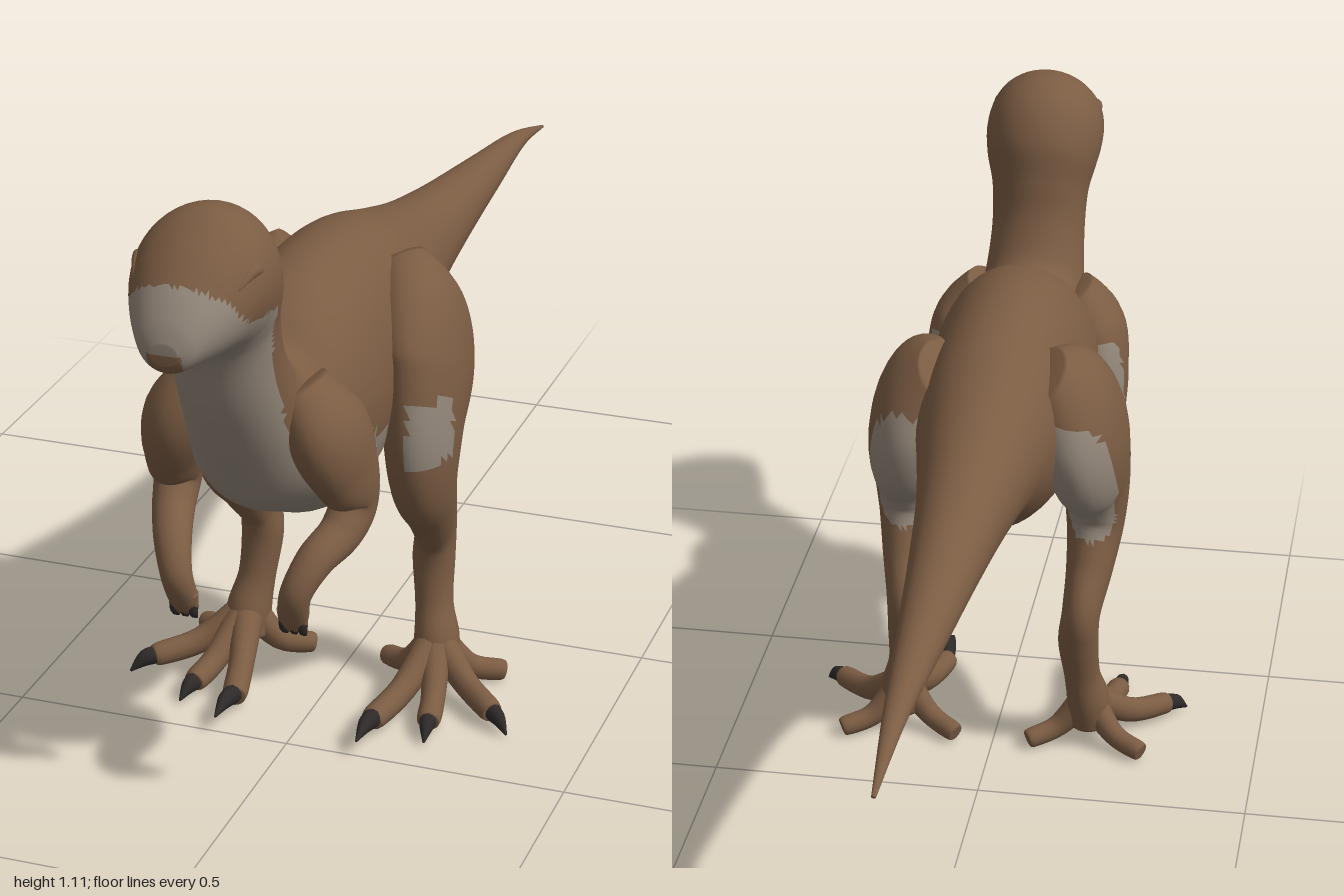
import * as THREE from 'three';

const paint = (name, color) => Object.assign(new THREE.MeshStandardMaterial({ color }), { name });
const brown = paint('brown hide', 0x7b5c43);
const pale = paint('pale underside', 0x93877a);
const dark = paint('dark claw', 0x2f2a2a);

// Catmull-Rom through rows of numbers, n steps between rows
function smooth(rows, n) {
  const out = [];
  const at = i => rows[Math.max(0, Math.min(rows.length - 1, i))];
  for (let i = 0; i < rows.length - 1; i++) {
    for (let k = 0; k < n; k++) {
      const t = k / n, a = at(i - 1), b = at(i), c = at(i + 1), d = at(i + 2);
      out.push(b.map((_, m) => b[m] + 0.5 * t * (c[m] - a[m] + t * (2 * a[m] - 5 * b[m] + 4 * c[m] - d[m]
        + t * (3 * (b[m] - c[m]) + d[m] - a[m])))));
    }
  }
  out.push(rows[rows.length - 1]);
  return out;
}

// Closed skin over rings { c, u, v }; isPale(x, y, z) picks the second colour
function skin(name, rings, sides, base, isPale) {
  const first = rings[0], last = rings[rings.length - 1], zero = new THREE.Vector3();
  const all = [{ c: first.c, u: zero, v: zero }, ...rings, { c: last.c, u: zero, v: zero }];
  const pos = [], main = [], second = [];
  for (const { c, u, v } of all) {
    for (let j = 0; j < sides; j++) {
      const a = j / sides * Math.PI * 2;
      const p = c.clone().addScaledVector(u, Math.cos(a)).addScaledVector(v, Math.sin(a));
      pos.push(p.x, p.y, p.z);
    }
  }
  const mid = (t, k) => (pos[t[0] * 3 + k] + pos[t[1] * 3 + k] + pos[t[2] * 3 + k]) / 3;
  for (let i = 0; i < all.length - 1; i++) {
    for (let j = 0; j < sides; j++) {
      const a = i * sides + j, b = i * sides + (j + 1) % sides;
      for (const t of [[a, b, a + sides], [b, b + sides, a + sides]]) {
        const light = isPale && isPale(Math.abs(mid(t, 0)), mid(t, 1), mid(t, 2));
        (light ? second : main).push(...t);
      }
    }
  }
  const g = new THREE.BufferGeometry();
  g.setAttribute('position', new THREE.Float32BufferAttribute(pos, 3));
  g.setIndex([...main, ...second]);
  g.computeVertexNormals();
  if (second.length) {
    g.addGroup(0, main.length, 0);
    g.addGroup(main.length, second.length, 1);
  }
  const mesh = new THREE.Mesh(g, second.length ? [base, pale] : base);
  mesh.name = name;
  return mesh;
}

// Limb along rows [x, y, z, radius along ref, other radius]; s mirrors it in x
function limb(name, rows, s, ref, { steps = 5, sides = 20, mat = brown, isPale } = {}) {
  const pts = smooth(rows, steps);
  const at = i => { const p = pts[Math.max(0, Math.min(pts.length - 1, i))]; return new THREE.Vector3(p[0] * s, p[1], p[2]); };
  const rings = pts.map((p, i) => {
    const t = at(i + 1).sub(at(i - 1)).normalize();
    const u = ref.clone().addScaledVector(t, -ref.dot(t)).normalize();
    const v = t.clone().cross(u);
    return { c: at(i), u: u.multiplyScalar(p[3]), v: v.multiplyScalar(p[4]) };
  });
  return skin(name, rings, sides, mat, isPale);
}

const X = new THREE.Vector3(1, 0, 0), Y = new THREE.Vector3(0, 1, 0);

// Body rings: top z, top y, bottom z, bottom y, half width
const BODY = [
  [-1, 0.628, -1, 0.622, 0.004], [-0.82, 0.675, -0.82, 0.64, 0.02], [-0.6, 0.705, -0.6, 0.625, 0.04],
  [-0.34, 0.74, -0.36, 0.607, 0.063], [-0.15, 0.775, -0.15, 0.585, 0.085], [0, 0.815, 0, 0.56, 0.11],
  [0.17, 0.865, 0.13, 0.49, 0.138], [0.33, 0.88, 0.3, 0.43, 0.15], [0.46, 0.868, 0.43, 0.425, 0.155],
  [0.53, 0.84, 0.55, 0.475, 0.145], [0.585, 0.805, 0.66, 0.535, 0.12], [0.625, 0.815, 0.73, 0.63, 0.1],
  [0.66, 0.88, 0.8, 0.75, 0.09], [0.675, 0.95, 0.838, 0.85, 0.092], [0.69, 1.03, 0.86, 0.882, 0.105],
  [0.74, 1.095, 0.88, 0.89, 0.112], [0.82, 1.118, 0.91, 0.897, 0.108], [0.89, 1.09, 0.94, 0.9, 0.09],
  [0.95, 1.04, 0.97, 0.905, 0.066], [0.985, 0.995, 0.99, 0.91, 0.045], [1, 0.96, 1, 0.925, 0.022],
];

// Front edge of the brown hide as [y, z]
const EDGE = [[0.42, 0.08], [0.5, 0.18], [0.55, 0.3], [0.6, 0.45], [0.66, 0.69], [0.8, 0.75],
  [0.955, 0.79], [0.97, 0.9], [1.04, 0.955], [1.05, 2]];
function bodyPale(x, y, z) {
  if (z > 0.975 && x < 0.028 && y > 0.9 && y < 0.943) return false; // nose
  if (y > 1.05) return false;
  if (y <= EDGE[0][0]) return z > 0;
  const i = EDGE.findIndex(e => e[0] >= y), [y0, z0] = EDGE[i - 1], [y1, z1] = EDGE[i];
  return z > z0 + (z1 - z0) * (y - y0) / (y1 - y0);
}

const LEG = [
  [0.09, 0.79, 0.17, 0.05, 0.06], [0.135, 0.73, 0.2, 0.075, 0.125], [0.163, 0.64, 0.235, 0.076, 0.15],
  [0.176, 0.54, 0.285, 0.064, 0.115], [0.178, 0.45, 0.285, 0.055, 0.088], [0.174, 0.37, 0.235, 0.044, 0.062],
  [0.166, 0.3, 0.185, 0.036, 0.052], [0.162, 0.24, 0.18, 0.038, 0.038], [0.168, 0.16, 0.195, 0.034, 0.034],
  [0.178, 0.1, 0.21, 0.04, 0.045], [0.18, 0.05, 0.22, 0.04, 0.045],
];
// Pale patches on the front and rear of the thigh
function legPale(x, y, z) {
  if (z > 0.31 && x > 0.18 && y > 0.51 && y < 0.62) return true;
  const t = Math.max(0, Math.min(1, (y - 0.48) / 0.2));
  return x > 0.1 && y > 0.44 && Math.hypot(z - 0.19 + 0.105 * t, y - 0.48 - 0.2 * t) < 0.042;
}

const ARM = [
  [0.08, 0.75, 0.63, 0.045, 0.06], [0.125, 0.68, 0.63, 0.06, 0.09], [0.147, 0.6, 0.6, 0.05, 0.08],
  [0.155, 0.535, 0.585, 0.04, 0.052], [0.147, 0.495, 0.625, 0.036, 0.038], [0.125, 0.47, 0.685, 0.032, 0.031],
  [0.105, 0.425, 0.722, 0.027, 0.025], [0.097, 0.38, 0.715, 0.026, 0.02], [0.094, 0.355, 0.707, 0.02, 0.014],
];
const armPale = (x, y, z) => z < 0.565 && y > 0.51 && y < 0.68 && x > 0.12;

// Toes end where their claws begin
const TOES = [
  { name: 'innerToe', mid: [0.152, 0.045, 0.32], end: [0.13, 0.032, 0.41], claw: [[0.13, 0.043, 0.455], [0.13, 0.035, 0.505]], r: 0.022 },
  { name: 'middleToe', mid: [0.205, 0.038, 0.31], end: [0.218, 0.025, 0.375], claw: [[0.222, 0.025, 0.4], [0.227, 0.01, 0.43]], r: 0.021 },
  { name: 'outerToe', mid: [0.25, 0.045, 0.265], end: [0.312, 0.032, 0.32], claw: [[0.332, 0.028, 0.336], [0.353, 0.008, 0.355]], r: 0.021 },
  { name: 'rearOuterToe', mid: [0.23, 0.038, 0.185], end: [0.282, 0.022, 0.157], r: 0.019 },
  { name: 'rearInnerToe', mid: [0.125, 0.038, 0.2], end: [0.075, 0.022, 0.17], r: 0.019 },
];

export function createModel() {
  const model = new THREE.Group();
  model.name = 'dinosaur';

  // Tail, torso, neck and head in one skin
  const rings = smooth(BODY, 7).map(([zt, yt, zb, yb, w]) => ({
    c: new THREE.Vector3(0, (yt + yb) / 2, (zt + zb) / 2),
    u: new THREE.Vector3(w, 0, 0),
    v: new THREE.Vector3(0, (yt - yb) / 2, (zt - zb) / 2),
  }));
  model.add(skin('body', rings, 48, brown, bodyPale));

  for (const s of [1, -1]) {
    const side = s > 0 ? 'left' : 'right';
    const leg = new THREE.Group(), arm = new THREE.Group();
    leg.name = side + 'LegGroup';
    arm.name = side + 'ArmGroup';
    model.add(leg, arm);

    // Leg with toes and claws
    leg.add(limb(side + 'Leg', LEG, s, X, { steps: 7, sides: 32, isPale: legPale }));
    for (const { name, mid, end, claw, r } of TOES) {
      leg.add(limb(name, [[0.178, 0.1, 0.215, 0.03, 0.03], [...mid, r * 1.15, r * 1.05], [...end, r, r],
        [...end.map((v, i) => v + (v - mid[i]) * 0.1), r * 0.6, r * 0.6]], s, Y, { sides: 14 }));
      if (claw) leg.add(limb(name + 'Claw', [[...end, r * 0.75, r * 0.75], [...claw[0], r * 0.75, r * 0.6],
        [...claw[1], 0.002, 0.002]], s, Y, { sides: 10, mat: dark }));
    }

    // Arm with three small hand claws
    arm.add(limb(side + 'Arm', ARM, s, X, { steps: 7, sides: 28, isPale: armPale }));
    for (const x of [0.08, 0.096, 0.112]) {
      arm.add(limb('finger', [[x, 0.39, 0.717, 0.011, 0.012], [x, 0.36, 0.712, 0.009, 0.01]], s, X, { sides: 10 }));
      arm.add(limb('fingerClaw', [[x, 0.368, 0.714, 0.009, 0.011], [x, 0.352, 0.712, 0.008, 0.009],
        [x, 0.336, 0.698, 0.002, 0.002]], s, X, { sides: 10, mat: dark }));
    }

    // Narrow eye under a low brow ridge
    const eye = new THREE.Mesh(new THREE.SphereGeometry(1, 16, 10), dark);
    eye.name = side + 'Eye';
    eye.scale.set(0.005, 0.007, 0.028);
    eye.position.set(s * 0.1, 1.01, 0.865);
    eye.rotation.y = -s * 0.35;
    model.add(eye, limb(side + 'Brow', [[0.1, 1.015, 0.825, 0.004, 0.004], [0.094, 1.04, 0.86, 0.011, 0.011],
      [0.084, 1.022, 0.905, 0.004, 0.004]], s, X, { sides: 12 }));
  }
  return model;
}
